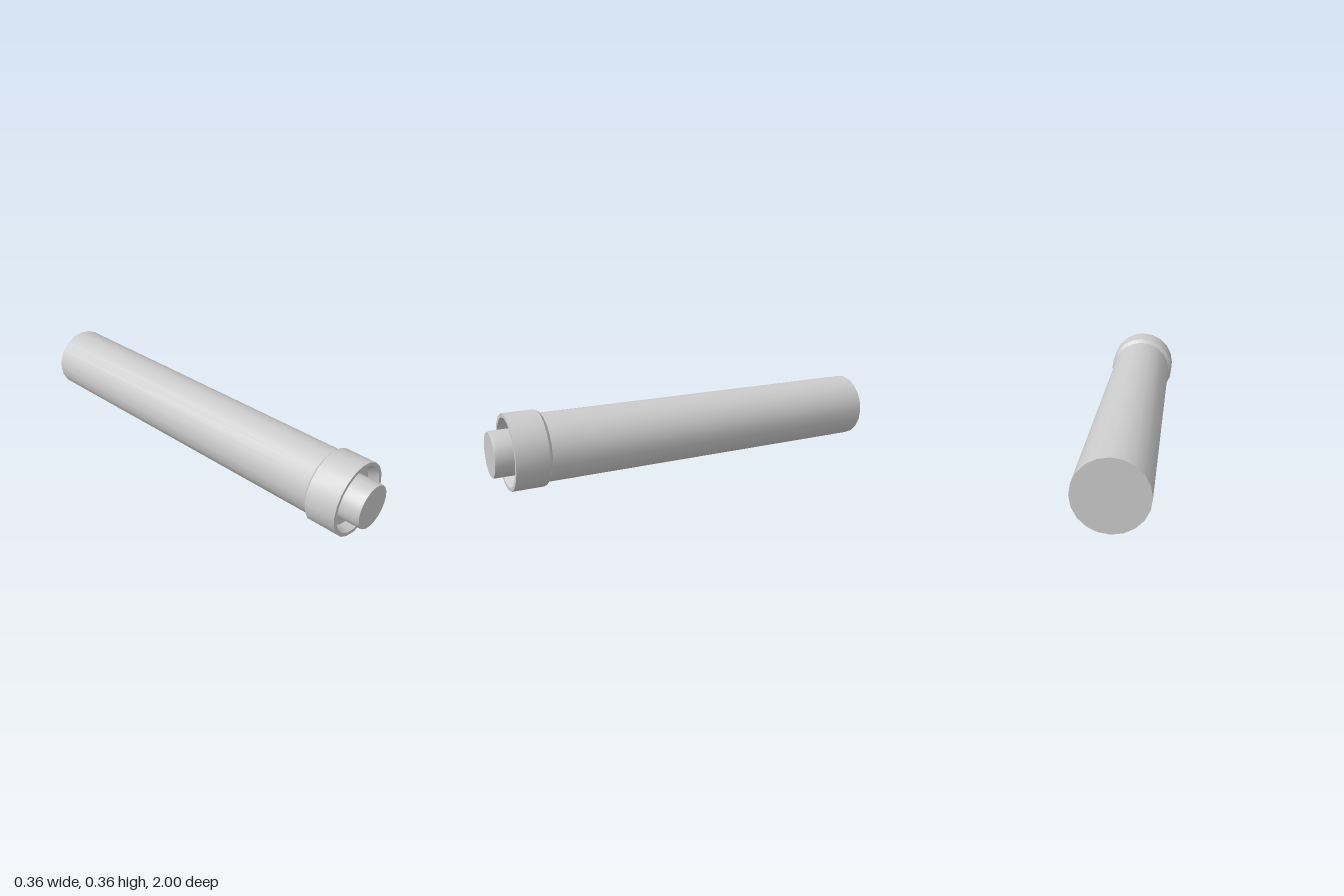
import * as THREE from 'three';
import { toCreasedNormals } from 'three/addons/utils/BufferGeometryUtils.js';

const SIDES = 20;
const AXIS_Y = 0.18;

// Turn a [radius, z] profile, listed from back to front, around the long axis.
function turned(name, profile, material) {
  const points = profile.map(([r, z]) => new THREE.Vector2(r, z));
  const lathe = new THREE.LatheGeometry(points, SIDES).rotateX(Math.PI / 2);
  const mesh = new THREE.Mesh(toCreasedNormals(lathe, 0.5), material);
  mesh.name = name;
  mesh.position.y = AXIS_Y;
  return mesh;
}

export function createModel() {
  const group = new THREE.Group();
  group.name = 'cylinderWithCollar';
  const grey = new THREE.MeshStandardMaterial({ color: 0xcccccc });

  // Long tube, closed at the back
  group.add(turned('body', [[0, -1], [0.162, -1], [0.162, 0.757]], grey));

  // Wider collar: chamfered shoulder, flat rim and tapered recess with a floor
  group.add(turned('collar', [
    [0.162, 0.757], [0.18, 0.773], [0.18, 0.927],
    [0.162, 0.927], [0.146, 0.88], [0.107, 0.88],
  ], grey));

  // Pin rising from the recess, with a slightly eased tip
  group.add(turned('pin', [
    [0.108, 0.88], [0.108, 0.985], [0.105, 1], [0, 1],
  ], grey));

  return group;
}
